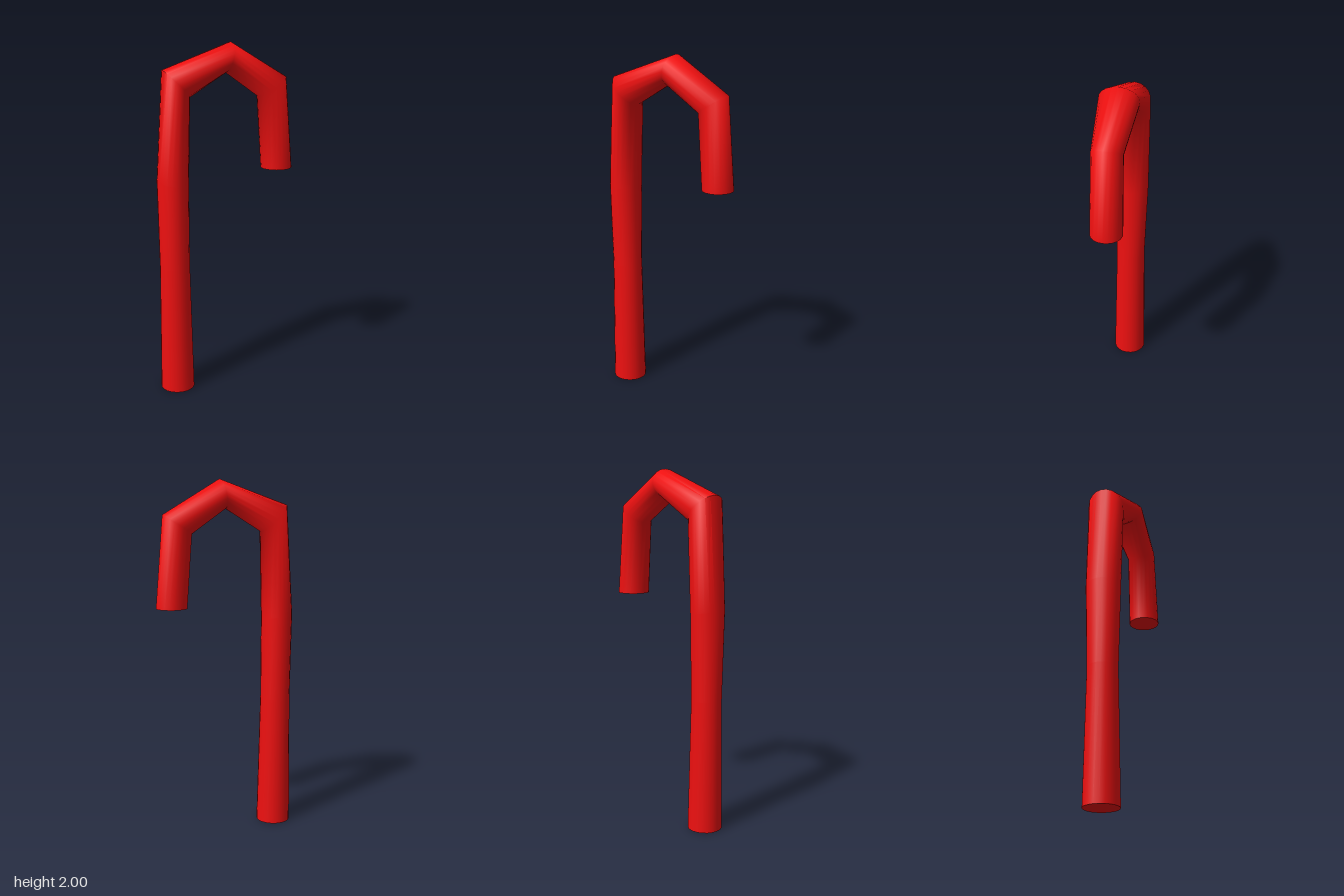
import * as THREE from 'three';
import { toCreasedNormals } from 'three/addons/utils/BufferGeometryUtils.js';

const SIDES = 20;

// Cross-sections along the cane: outer x, y, inner x, y, half depth
const SECTIONS = [
  [-0.395, 0, -0.2, 0, 0.097],
  [-0.388, 0.75, -0.217, 0.75, 0.085],
  [-0.395, 1.25, -0.218, 1.22, 0.1],
  [-0.355, 1.86, -0.207, 1.71, 0.107],
  [0.03, 2.0, -0.004, 1.838, 0.11],
  [0.35, 1.806, 0.186, 1.7, 0.083],
  [0.392, 1.29, 0.215, 1.29, 0.089],
];

// Joins the oval sections into one closed tube
function loft(sections) {
  const positions = [];
  const index = [];
  for (const [ox, oy, ix, iy, depth] of sections) {
    const cx = (ox + ix) / 2, cy = (oy + iy) / 2;
    for (let j = 0; j < SIDES; j++) {
      const t = (j / SIDES) * Math.PI * 2;
      positions.push(cx + (ox - cx) * Math.cos(t), cy + (oy - cy) * Math.cos(t), depth * Math.sin(t));
    }
  }
  for (let i = 0; i < sections.length - 1; i++) {
    for (let j = 0; j < SIDES; j++) {
      const k = (j + 1) % SIDES;
      const a = i * SIDES + j, b = i * SIDES + k;
      index.push(a, b, b + SIDES, a, b + SIDES, a + SIDES);
    }
  }
  // Flat end caps
  const last = (sections.length - 1) * SIDES;
  for (let j = 1; j < SIDES - 1; j++) {
    index.push(0, j + 1, j, last, last + j, last + j + 1);
  }
  const geometry = new THREE.BufferGeometry();
  geometry.setAttribute('position', new THREE.Float32BufferAttribute(positions, 3));
  geometry.setIndex(index);
  return toCreasedNormals(geometry, Math.PI / 3);
}

export function createModel() {
  const group = new THREE.Group();
  group.name = 'cane';
  const material = new THREE.MeshStandardMaterial({ color: 0xee1010 });
  const cane = new THREE.Mesh(loft(SECTIONS), material);
  cane.name = 'hookedCane';
  group.add(cane);
  return group;
}
